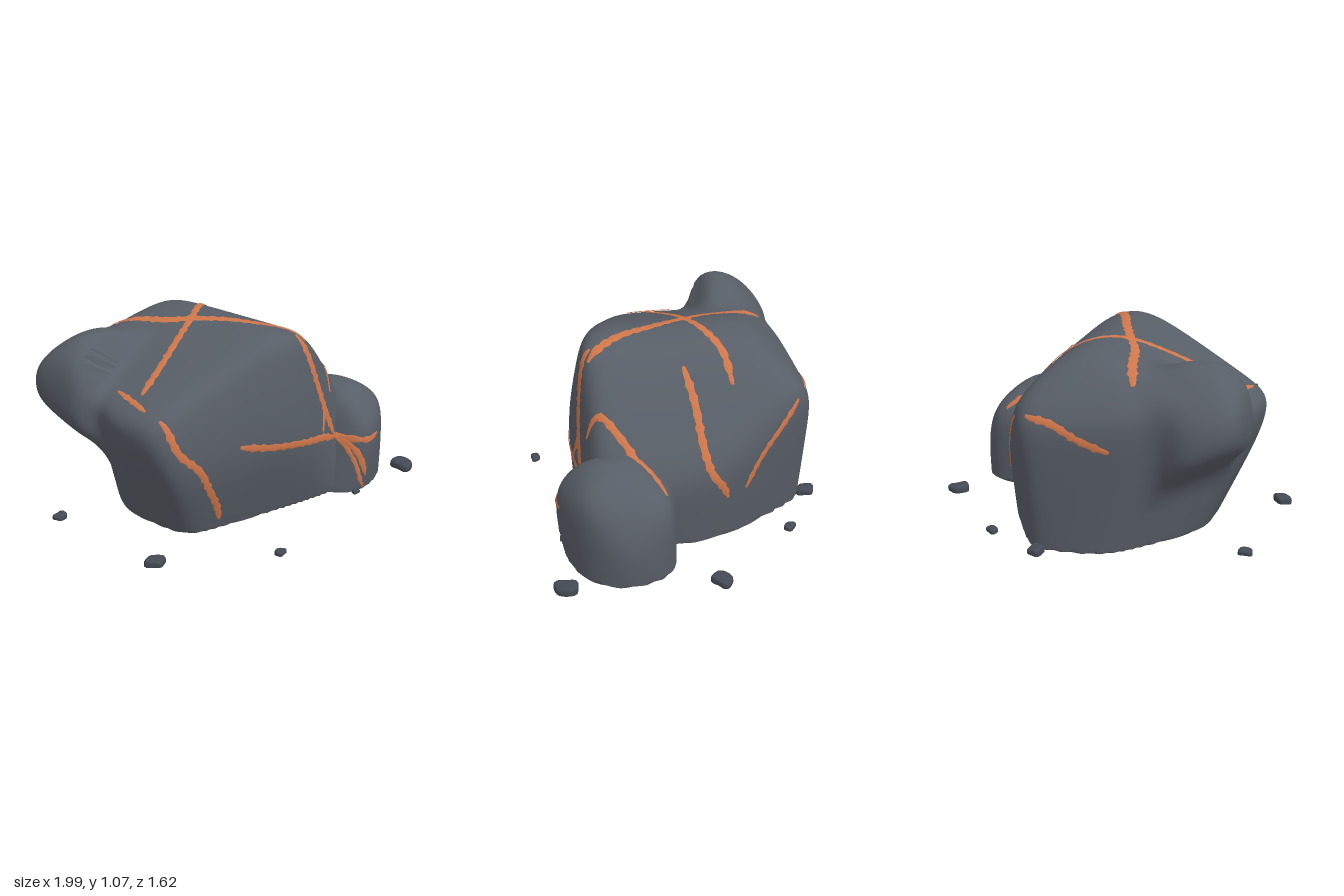
import * as THREE from 'three';
import { mergeVertices, toCreasedNormals } from 'three/addons/utils/BufferGeometryUtils.js';

const V = (x, y, z) => new THREE.Vector3(x, y, z);

// Each rock is a rounded block bounded by planes [nx, ny, nz, distance]
const BODY = [
  [-.36, .2, .91, .69], [.25, .15, .95, .675], [-.3, -.3, .9, .43],       // front
  [-.91, -.41, 0, .56], [-1, 0, 0, .9], [-.74, -.2, -.64, .59],           // left side
  [-.1, -.05, -1, .72], [0, .7, -.7, 1.06],                               // back
  [-.42, .91, 0, 1.03], [0, 1, 0, 1.1], [.45, .89, 0, 1.0],               // top
  [.81, .58, 0, .755], [1, -.1, 0, .57], [.84, -.1, -.5, .56],            // right side
];
const HORN = [
  [0, .7, -.7, 1.06], [-1, 0, 0, .895], [0, 1, 0, 1.1], [-.3, 0, -.95, .88],
  [-.7, .7, 0, 1.28], [.6, 0, -.8, .22], [.5, .86, 0, .67], [0, .1, 1, -.15],
  [0, .6, .8, .43], [-.5, -.8, -.3, .1],
];
const LOBE = [
  [0, 1, 0, .63], [.55, .83, 0, .865], [.9, .43, 0, .95], [.97, -.2, 0, .89],
  [.4, 0, .92, .89], [.8, 0, .6, 1.01], [.85, 0, -.5, .65], [.1, 0, -1, -.01],
  [-1, .2, .1, -.23], [-.7, 0, .7, .21], [.1, .7, .7, .86], [0, .75, -.65, .28],
  [0, -.3, .95, .67], [-.7, .7, 0, .11],
];

function block(planes, p, k) {
  let sum = 0;
  for (const [x, y, z, d] of planes) sum += Math.exp(k * (x * p.x + y * p.y + z * p.z - d));
  return Math.log(sum) / k;
}
function bodyField(p) {
  const a = block(BODY, p, 22), b = block(HORN, p, 22);
  const h = Math.max(.1 - Math.abs(a - b), 0) / .1;
  return Math.max(Math.min(a, b) - h * h * .025, -p.y);
}
const lobeField = p => Math.max(block(LOBE, p, 24), -p.y);
const field = p => Math.min(bodyField(p), lobeField(p));

// Push a sphere's vertices out from an inner point until they meet the rock surface
function rockGeometry(f, center, segments, rings) {
  const sphere = new THREE.SphereGeometry(1, segments, rings);
  sphere.deleteAttribute('uv');
  sphere.deleteAttribute('normal');
  const geo = mergeVertices(sphere, 1e-5);
  const pos = geo.attributes.position;
  const dir = V(), p = V();
  for (let i = 0; i < pos.count; i++) {
    dir.fromBufferAttribute(pos, i).normalize();
    let lo = 0, hi = 1.6;
    for (let s = 0; s < 24; s++) {
      const mid = (lo + hi) / 2;
      if (f(p.copy(center).addScaledVector(dir, mid)) < 0) lo = mid; else hi = mid;
    }
    p.copy(center).addScaledVector(dir, lo);
    pos.setXYZ(i, p.x, p.y, p.z);
  }
  return toCreasedNormals(geo, .6);
}

function gradient(p) {
  const e = .004;
  const d = v => field(p.clone().add(v)) - field(p.clone().sub(v));
  return V(d(V(e, 0, 0)), d(V(0, e, 0)), d(V(0, 0, e))).divideScalar(2 * e);
}
function snap(p) {
  for (let i = 0; i < 3; i++) {
    const g = gradient(p);
    p.addScaledVector(g, -field(p) / Math.max(g.lengthSq(), .2));
  }
  return p;
}

// Cast a flat path on to the rock from one side
const SIDES = {
  front: { at: (a, b) => V(a, b, 1.5), dir: V(0, 0, -1) },
  back: { at: (a, b) => V(a, b, -1.5), dir: V(0, 0, 1) },
  top: { at: (a, b) => V(a, 1.6, b), dir: V(0, -1, 0) },
  right: { at: (a, b) => V(1.5, b, a), dir: V(-1, 0, 0) },
};
function crackGeometry(side, path, width) {
  const { at, dir } = SIDES[side];
  const curve = new THREE.CatmullRomCurve3(path.map(([a, b]) => V(a, b, 0)));
  const n = Math.max(8, Math.ceil(curve.getLength() / .02));
  const mids = curve.getSpacedPoints(n).map(q => {
    const p = at(q.x, q.y);
    for (let i = 0; i < 90; i++) p.addScaledVector(dir, field(p) * .6);
    return snap(p);
  });
  const verts = [], index = [];
  mids.forEach((c, i) => {
    const normal = gradient(c).normalize();
    const along = mids[Math.min(i + 1, n)].clone().sub(mids[Math.max(i - 1, 0)]);
    const across = along.cross(normal).normalize();
    const taper = Math.min(1, .4 + Math.min(i, n - i) * .2);
    const half = width / 2 * taper * (1 + .18 * Math.sin(i * 1.9) + .12 * Math.sin(i * 3.7));
    for (const s of [-1, 0, 1]) {
      const p = snap(c.clone().addScaledVector(across, s * half));
      p.addScaledVector(normal, s ? .003 : .007);
      verts.push(p.x, p.y, p.z);
    }
    if (i < n) for (const k of [0, 1]) {
      const a = i * 3 + k;
      index.push(a, a + 1, a + 3, a + 1, a + 4, a + 3);
    }
  });
  const geo = new THREE.BufferGeometry();
  geo.setAttribute('position', new THREE.Float32BufferAttribute(verts, 3));
  geo.setIndex(index);
  geo.computeVertexNormals();
  return geo;
}

const CRACKS = [
  ['topLongCrack', 'top', [[-.3, -.56], [-.25, -.42], [-.2, -.22], [-.13, -.08], [-.04, .12], [.02, .28], [.1, .42], [.14, .48]], .05],
  ['topCrossCrack', 'top', [[-.7, .04], [-.5, 0], [-.3, -.05], [-.13, -.1], [.05, -.19], [.18, -.26], [.31, -.29]], .04],
  ['frontMainCrack', 'front', [[.08, 1.02], [.13, .88], [.19, .7], [.26, .52], [.33, .38]], .05],
  ['frontLowerCrack', 'front', [[.33, .38], [.4, .28], [.47, .1]], .035],
  ['frontForkCrack', 'front', [[.19, .72], [.23, .55], [.2, .43]], .035],
  ['frontCrossCrack', 'front', [[-.4, .52], [-.2, .47], [0, .44], [.2, .4], [.33, .35]], .04],
  ['lobeFrontCrack', 'front', [[.33, .36], [.45, .33], [.57, .335]], .035],
  ['seamCrack', 'front', [[.36, .34], [.4, .2], [.44, .07], [.47, .02]], .025],
  ['lobeSeamCrack', 'top', [[.72, .14], [.62, .2], [.52, .28], [.43, .37], [.36, .45], [.34, .52]], .04],
  ['leftCrack', 'front', [[-.78, .74], [-.74, .57], [-.63, .44], [-.55, .29], [-.48, .17], [-.44, .07]], .04],
  ['leftTopCrack', 'top', [[-.72, -.11], [-.75, .02], [-.78, .14]], .03],
  ['rightCrack', 'right', [[-.03, .95], [-.07, .8], [-.1, .58], [-.14, .45], [-.2, .36], [-.23, .28]], .042],
  ['backRightCrack', 'right', [[-.66, .74], [-.55, .61], [-.46, .51], [-.4, .42], [-.34, .3]], .035],
  ['backCrack', 'back', [[.25, .76], [.1, .74], [-.05, .67], [-.22, .61]], .04],
];

// x, z, radius
const PEBBLES = [
  [-.9, -.42, .045], [.18, -.77, .06], [.51, -.6, .04], [.93, -.13, .066],
  [-.94, .33, .062], [-.43, .77, .037], [.86, .71, .072], [.41, .68, .03],
];
function pebbleGeometry(seed) {
  const ball = new THREE.SphereGeometry(1, 20, 14);
  ball.deleteAttribute('uv');
  ball.deleteAttribute('normal');
  const geo = mergeVertices(ball, 1e-5);
  const pos = geo.attributes.position, p = V();
  for (let i = 0; i < pos.count; i++) {
    p.fromBufferAttribute(pos, i);
    // squarish, lumpy stone cut flat at the ground
    const r = Math.pow(p.x ** 4 + p.y ** 4 + p.z ** 4, -.25) * (.9 + .1 * Math.sin(3 * p.x + 2 * p.z + seed * 2));
    pos.setXYZ(i, p.x * r, Math.max(0, p.y * r * .5 + .25), p.z * r * .8);
  }
  return toCreasedNormals(geo, .7);
}

export function createModel() {
  const group = new THREE.Group();
  const stone = new THREE.MeshStandardMaterial({ name: 'slateGrey', color: 0x585e67 });
  const ember = new THREE.MeshStandardMaterial({ name: 'emberOrange', color: 0xd0764a, side: THREE.DoubleSide });
  const dark = new THREE.MeshStandardMaterial({ name: 'darkSlate', color: 0x444a54 });
  const add = (name, geo, mat) => {
    const mesh = new THREE.Mesh(geo, mat);
    mesh.name = name;
    group.add(mesh);
    return mesh;
  };

  // Boulder
  add('boulder', rockGeometry(bodyField, V(-.1, .5, -.05), 220, 150), stone);
  add('frontRightLobe', rockGeometry(lobeField, V(.62, .25, .4), 110, 80), stone);

  // Glowing cracks
  for (const [name, side, path, width] of CRACKS) add(name, crackGeometry(side, path, width), ember);

  // Loose stones around the foot
  PEBBLES.forEach(([x, z, r], i) => {
    const pebble = add('pebble' + (i + 1), pebbleGeometry(i), dark);
    pebble.position.set(x, 0, z);
    pebble.scale.setScalar(r * .95);
    pebble.rotation.y = i * 1.3;
  });
  return group;
}
